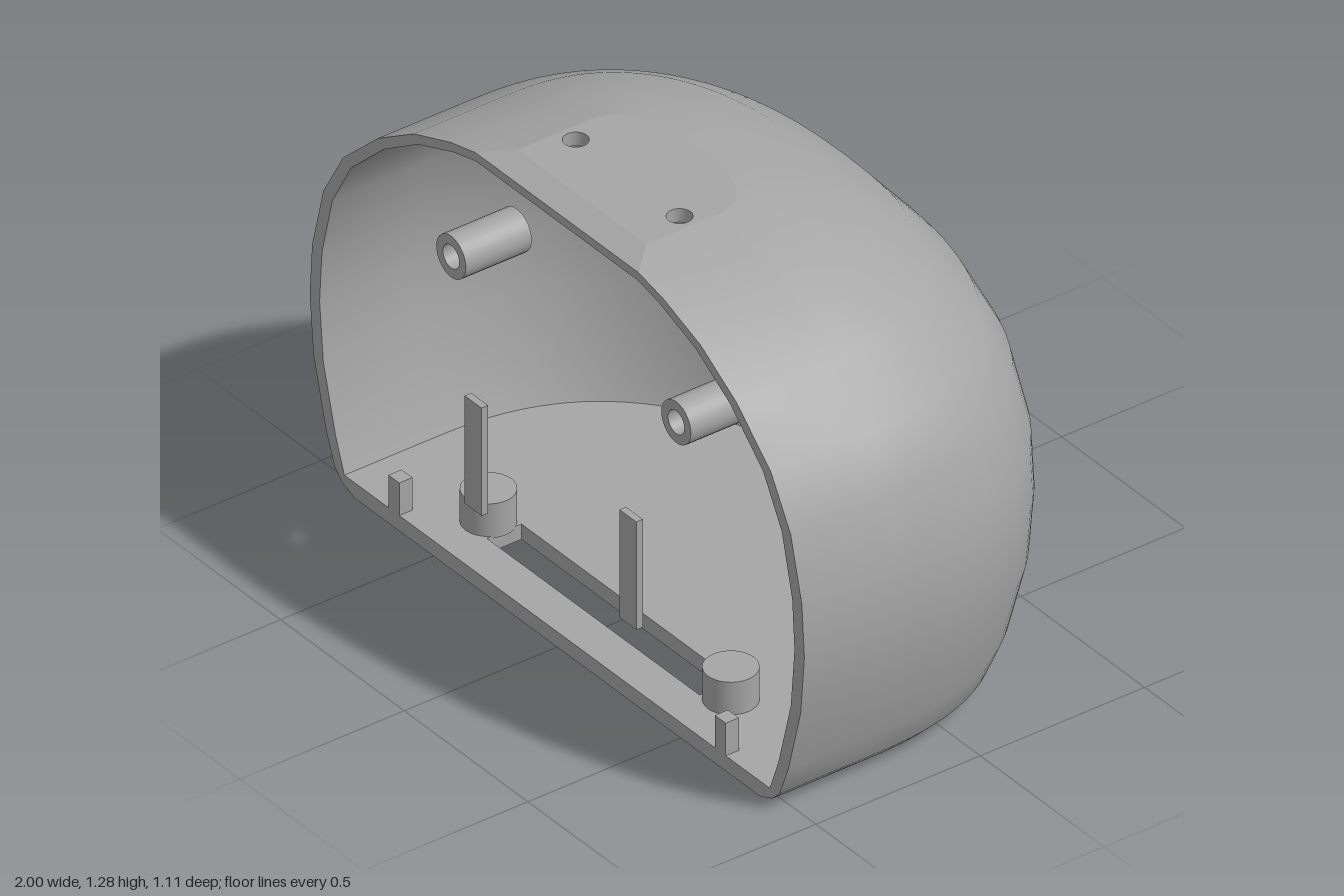
import * as THREE from 'three';

const FRONT = 0.535;   // plane of the open front
const FLOOR = 0.045;   // height of the inner floor
const PLATEAU = 1.284; // height of the flat top

// Horizontal sections of the outer skin: height, half width, rearmost z
const SECTIONS = [
  [0, 0.82, -0.41], [0.02, 0.87, -0.45], [0.05, 0.9, -0.475], [0.14, 0.935, -0.51],
  [0.33, 0.985, -0.545], [0.5, 1, -0.555], [0.65, 0.99, -0.55], [0.83, 0.945, -0.51],
  [0.97, 0.865, -0.44], [1.1, 0.725, -0.33], [1.19, 0.58, -0.2], [1.245, 0.43, -0.06], [1.268, 0.33, 0.0],
];

export function createModel() {
  const group = new THREE.Group();
  const grey = new THREE.MeshStandardMaterial({ color: 0xa5a5a5 });
  grey.name = 'grey';
  grey.side = THREE.DoubleSide;

  const add = (name, geometry, x = 0, y = 0, z = 0) => {
    const mesh = new THREE.Mesh(geometry, grey);
    mesh.name = name;
    mesh.position.set(x, y, z);
    group.add(mesh);
    return mesh;
  };

  // Section outline from the front left corner, round the back, to the front right
  const section = ([y, w, back], front = FRONT) => {
    const points = [new THREE.Vector3(w, y, front)];
    const z0 = 0.25, n = 56, e = 2 / 2.4;
    for (let i = 0; i <= n; i++) {
      const t = (Math.PI * i) / n, c = Math.cos(t);
      points.push(new THREE.Vector3(
        w * Math.sign(c) * Math.abs(c) ** e, y,
        z0 - (z0 - back) * Math.max(0, Math.sin(t)) ** e));
    }
    points.push(new THREE.Vector3(-w, y, front));
    return points;
  };

  // Surface through rows of points
  const skin = (rows, flip = false, flat = false) => {
    const n = rows[0].length, index = [];
    for (let i = 0; i < rows.length - 1; i++) {
      for (let j = 0; j < n - 1; j++) {
        const a = i * n + j, b = a + 1, c = a + n, d = c + 1;
        if (flip) index.push(a, c, b, b, c, d);
        else index.push(a, b, c, b, d, c);
      }
    }
    let g = new THREE.BufferGeometry().setFromPoints(rows.flat());
    g.setIndex(index);
    if (flat) g = g.toNonIndexed();
    g.computeVertexNormals();
    return g;
  };

  // Horizontal plate filling an outline, with holes, facing up or down
  const plan = (p) => new THREE.Vector2(p.x, -p.z);
  const plate = (outline, holes, up) => {
    const s = new THREE.Shape(outline.map(plan));
    holes.forEach((h) => s.holes.push(new THREE.Path(h.map(plan))));
    const g = new THREE.ShapeGeometry(s);
    if (!up) {
      const ix = g.index.array;
      for (let i = 0; i < ix.length; i += 3) [ix[i], ix[i + 1]] = [ix[i + 1], ix[i]];
      g.computeVertexNormals();
    }
    return g.rotateX(-Math.PI / 2).translate(0, outline[0].y, 0);
  };

  const circle = (x, z, r, n = 24) => Array.from({ length: n }, (_, i) => {
    const t = (2 * Math.PI * i) / n;
    return new THREE.Vector3(x + r * Math.cos(t), 0, z - r * Math.sin(t));
  });

  // Inner wall of a cut-out between two heights
  const lining = (loop, y0, y1, flat) => {
    const ring = (y) => [...loop, loop[0]].map((p) => new THREE.Vector3(p.x, y, p.z));
    return skin([ring(y0), ring(y1)], true, flat);
  };

  // Cut-outs
  const slot = [[-0.43, 0.425], [0.43, 0.425], [0.43, 0.32], [-0.43, 0.32]]
    .map(([x, z]) => new THREE.Vector3(x, 0, z));
  const topHoles = [-0.21, 0.21].map((x) => circle(x, 0.32, 0.033));
  const screwHoles = [-0.49, 0.49].map((x) => circle(x, 0.375, 0.032));

  // Outer shell, closed by the base and the flat top
  const plateau = section([PLATEAU, 0.26, 0.1], 0.46);
  const outer = [...SECTIONS.map((s) => section(s)), plateau];
  add('outerShell', skin(outer));
  add('base', plate(outer[0], [slot, ...screwHoles], false));
  add('flatTop', plate(plateau, topHoles, true));
  const lip = (y, w, z) => [new THREE.Vector3(-w, y, z), new THREE.Vector3(w, y, z)];
  add('topFrontSlope', skin([lip(1.268, 0.33, FRONT), lip(PLATEAU, 0.26, 0.46)]));

  // Inner shell, set in by the wall thickness
  const innerSections = [[FLOOR, 0.86, -0.43], ...SECTIONS.slice(3).map(([y, w, back]) => {
    const k = THREE.MathUtils.clamp((y - 0.5) / 0.77, 0, 1);
    const inset = 0.04 * Math.sqrt(1 - k * k);
    return [y - 0.024 * k, w - inset, back + inset];
  })];
  const inner = innerSections.map((s) => section(s));
  const ceiling = inner[inner.length - 1];
  add('innerShell', skin(inner, true));
  add('floor', plate(inner[0], [slot], true));
  add('ceiling', plate(ceiling, topHoles, false));

  // Front rim between the two skins
  const profile = (list) => [
    ...list.map(([y, w]) => new THREE.Vector2(w, y)),
    ...list.map(([y, w]) => new THREE.Vector2(-w, y)).reverse(),
  ];
  const rim = new THREE.Shape(profile(SECTIONS));
  rim.holes.push(new THREE.Path(profile(innerSections)));
  add('frontRim', new THREE.ShapeGeometry(rim), 0, 0, FRONT);

  // Walls of the cut-outs
  add('slotWall', lining(slot, 0, FLOOR, true));
  topHoles.forEach((h) => add('topHoleWall', lining(h, ceiling[0].y, PLATEAU)));
  screwHoles.forEach((h) => {
    add('screwHoleWall', lining(h, 0, 0.1));
    add('screwHoleEnd', plate(h, [], false), 0, 0.1, 0);
  });

  // Fittings, mirrored left and right
  const tube = [[0.033, -0.1], [0.06, -0.1], [0.06, 0.1], [0.033, 0.1], [0.033, -0.1]];
  for (const side of [-1, 1]) {
    add('screwPost', new THREE.CylinderGeometry(0.07, 0.07, 0.1, 32), side * 0.49, 0.09, 0.375);
    add('rimTab', new THREE.BoxGeometry(0.044, 0.1, 0.04), side * 0.66, 0.09, 0.515);
    add('frontStrip', new THREE.BoxGeometry(0.068, 0.315, 0.02), side * 0.313, 0.4, 0.545);
    // Hollow boss, one lathe per face so the edges stay sharp
    for (let i = 0; i < tube.length - 1; i++) {
      const pts = [tube[i], tube[i + 1]].map(([r, y]) => new THREE.Vector2(r, y));
      add('boss', new THREE.LatheGeometry(pts, 28).rotateX(Math.PI / 2), side * 0.455, 0.89, 0.415);
    }
  }
  return group;
}
